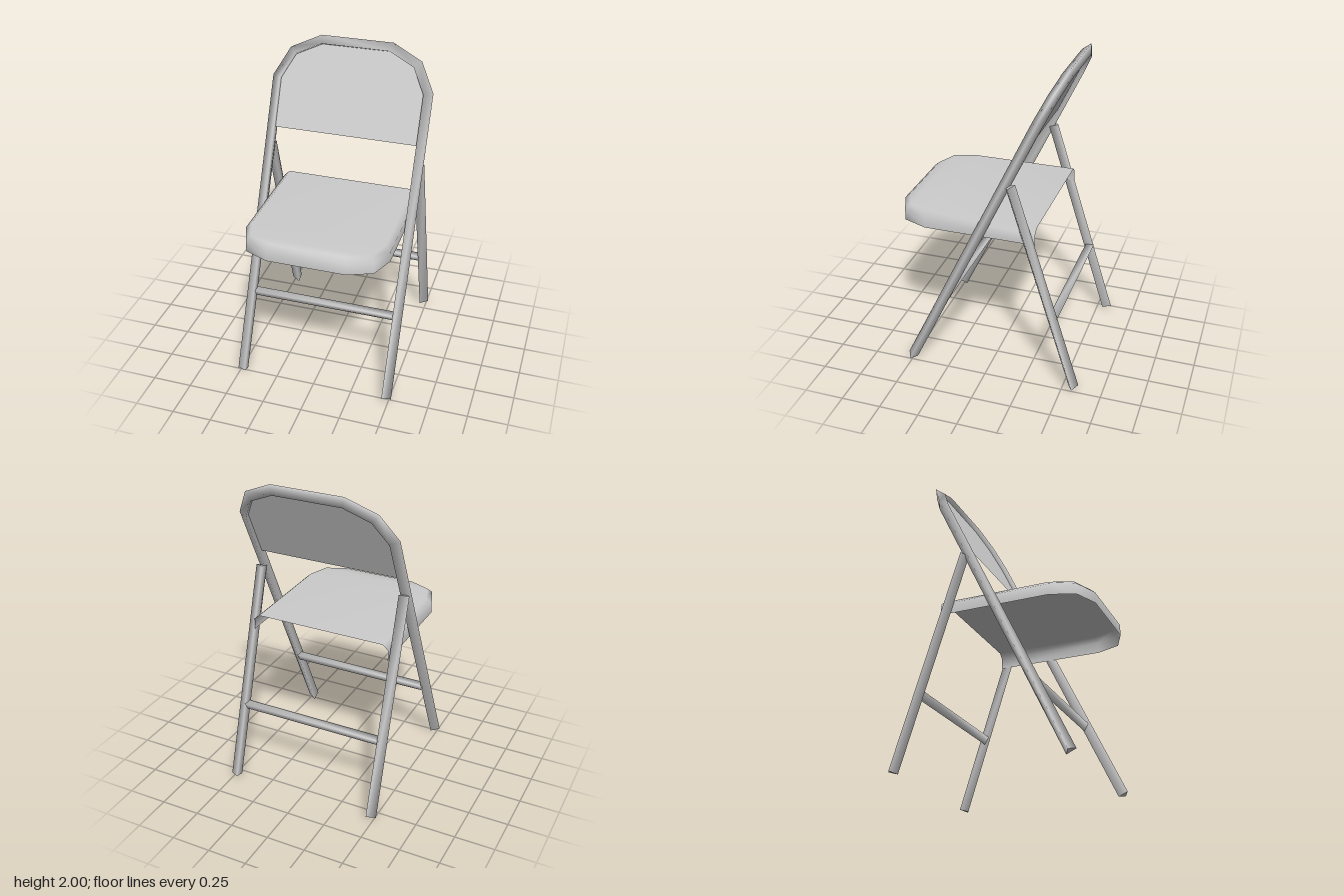
import * as THREE from 'three';

const material = new THREE.MeshStandardMaterial({ color: 0xcccccc, side: THREE.DoubleSide });
const V = (x, y, z) => new THREE.Vector3(x, y, z);

function makeMesh(name, verts, index) {
  const geo = new THREE.BufferGeometry();
  geo.setAttribute('position', new THREE.Float32BufferAttribute(verts.flatMap(v => [v.x, v.y, v.z]), 3));
  geo.setIndex(index);
  geo.computeVertexNormals();
  const mesh = new THREE.Mesh(geo, material);
  mesh.name = name;
  return mesh;
}

// Three-sided rod with mitred corners along a path lying in the plane with normal n
function rod(name, path, n, r) {
  const verts = [], index = [];
  const last = path.length - 1;
  path.forEach((p, i) => {
    const before = path[i].clone().sub(path[Math.max(i - 1, 0)]).normalize();
    const after = path[Math.min(i + 1, last)].clone().sub(p).normalize();
    const t = before.clone().add(after).normalize();
    const miter = 1 / t.dot(i < last ? after : before);
    const out = t.clone().cross(n).multiplyScalar(r * miter);
    const side = n.clone().multiplyScalar(r * Math.sqrt(3) / 2);
    const inner = p.clone().addScaledVector(out, -0.5);
    verts.push(p.clone().add(out), inner.clone().sub(side), inner.clone().add(side));
    if (i === last) return;
    for (let j = 0; j < 3; j++) {
      const a = i * 3 + j, b = i * 3 + (j + 1) % 3;
      index.push(a, b, b + 3, a, b + 3, a + 3);
    }
  });
  // flat end caps on their own vertices
  const k = verts.length;
  verts.push(...verts.slice(0, 3), ...verts.slice(k - 3, k));
  index.push(k, k + 2, k + 1, k + 3, k + 4, k + 5);
  return makeMesh(name, verts, index);
}

// Depth of the leaning frame plane at height y
const frameZ = y => 0.507 - (y - 0.018) * 0.4745;
const onFrame = ([x, y]) => V(x, y, frameZ(y));
const mirrored = half => [...half, ...half.slice().reverse().map(([x, y]) => [-x, y])];

// Seat: top, rounded edge and skirt, open below and at the back
function seat() {
  const outer = [[0.453, -0.305], [0.453, 0.39], [0.395, 0.54], [0.245, 0.603]];
  const inner = [[0.42, -0.305], [0.42, 0.378], [0.373, 0.513], [0.237, 0.57]];
  const verts = [], index = [];
  for (const [half, y] of [[outer, 0.975], [outer, 1.045], [inner, 1.075]]) {
    for (const [x, z] of mirrored(half)) verts.push(V(x, y, z));
  }
  for (let ring = 0; ring < 2; ring++) {
    for (let j = 0; j < 7; j++) {
      const a = ring * 8 + j, b = a + 1;
      index.push(a, b + 8, b, a, a + 8, b + 8);
    }
  }
  for (let j = 0; j < 3; j++) {
    const a = 16 + j, b = 23 - j;
    index.push(a, b, b - 1, a, b - 1, a + 1);
  }
  return makeMesh('seat', verts, index);
}

// Flat panel filling the top of the frame
function backrest() {
  const verts = mirrored([[0.465, 1.457], [0.465, 1.75], [0.382, 1.89], [0.22, 1.96]]).map(onFrame);
  const index = [];
  for (let j = 0; j < 3; j++) index.push(j, j + 1, 6 - j, j, 6 - j, 7 - j);
  return makeMesh('backrest', verts, index);
}

export function createModel() {
  const group = new THREE.Group();

  // Front legs and back hoop in one bent rod
  const hoop = mirrored([[0.478, 0.018], [0.478, 1.742], [0.393, 1.891], [0.222, 1.967]]).map(onFrame);
  group.add(rod('frontFrame', hoop, V(0, 0.4745, 1).normalize(), 0.037));

  // Rear legs
  for (const s of [1, -1]) {
    const path = [V(0.478 * s, 0.022, -0.569), V(0.478 * s, 1.345, -0.154)];
    if (s < 0) path.reverse();
    group.add(rod(s > 0 ? 'rearLegLeft' : 'rearLegRight', path, V(0, -0.3137, 1).normalize(), 0.037));
  }

  // Cross bars between the legs
  for (const [name, z] of [['frontCrossBar', 0.27], ['rearCrossBar', -0.428]]) {
    group.add(rod(name, [V(-0.465, 0.484, z), V(0.465, 0.484, z)], V(0, 0, 1), 0.032));
  }

  group.add(seat(), backrest());
  return group;
}
